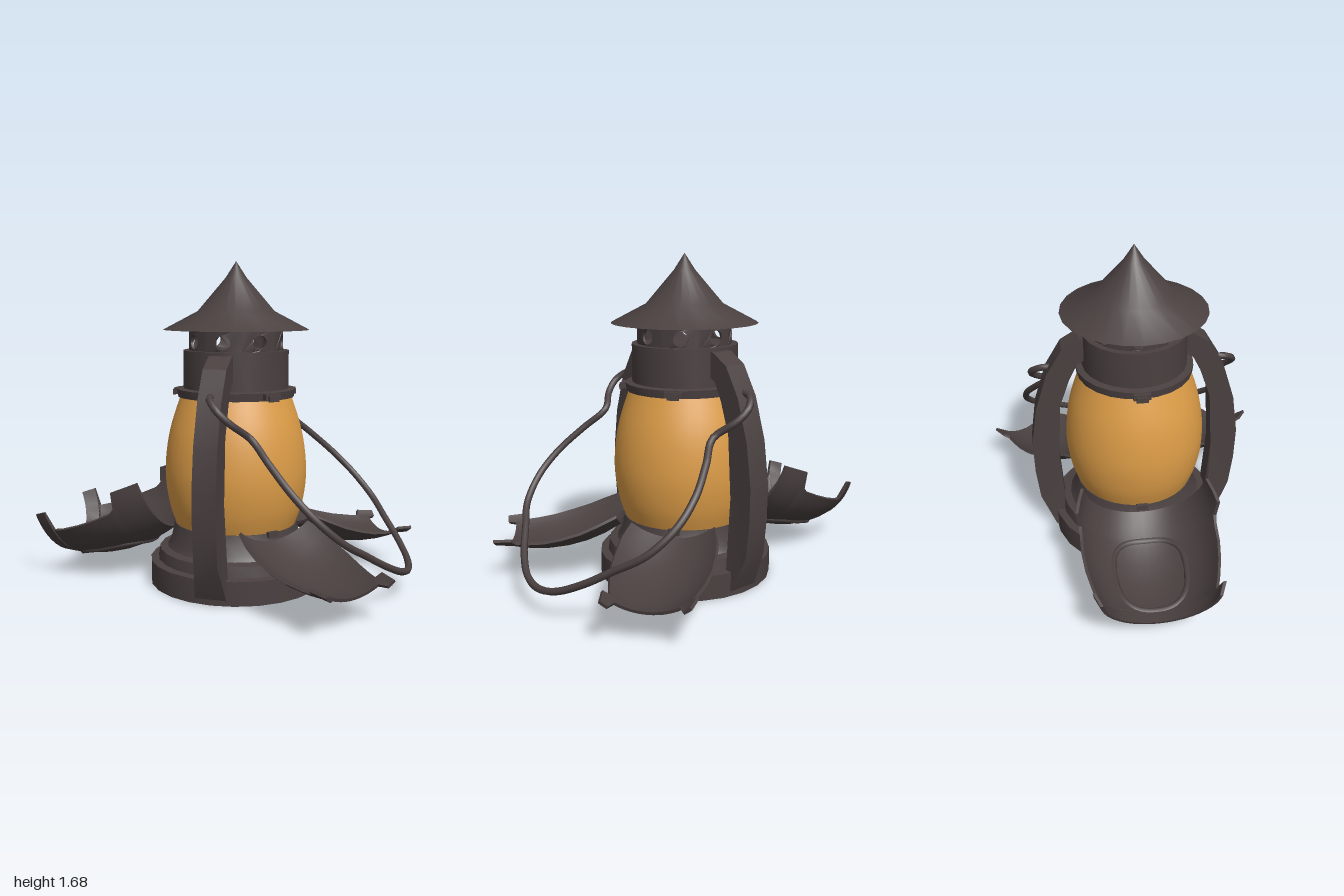
import * as THREE from 'three';
import { toCreasedNormals } from 'three/addons/utils/BufferGeometryUtils.js';

const rad = THREE.MathUtils.degToRad;

export function createModel() {
  const metal = new THREE.MeshStandardMaterial({ color: 0x4a4040, side: THREE.DoubleSide });
  metal.name = 'dark metal';
  const amber = new THREE.MeshStandardMaterial({ color: 0xdc9c47 });
  amber.name = 'amber glass';

  const model = new THREE.Group();
  model.name = 'lantern';
  const body = new THREE.Group();
  body.name = 'lanternBody';
  body.position.set(0.062, 0, 0.02);
  model.add(body);

  const add = (name, geometry, material = metal, parent = body) => {
    const mesh = new THREE.Mesh(geometry, material);
    mesh.name = name;
    parent.add(mesh);
    return mesh;
  };
  const lathe = (name, profile, segments = 24, material = metal) => {
    const pts = profile.map(([r, y]) => new THREE.Vector2(r, y));
    return add(name, toCreasedNormals(new THREE.LatheGeometry(pts, segments), 0.5), material);
  };

  // Turned parts
  lathe('base', [[0, 0], [0.455, 0], [0.455, 0.125], [0.415, 0.13], [0.405, 0.185],
    [0.365, 0.195], [0.345, 0.225], [0.325, 0.32], [0, 0.32]]);
  const bulge = new THREE.SplineCurve([[0.315, 0.31], [0.352, 0.42], [0.372, 0.56], [0.366, 0.7],
    [0.34, 0.84], [0.288, 1.0]].map(([r, y]) => new THREE.Vector2(r, y)));
  add('glass', new THREE.LatheGeometry(bulge.getPoints(20), 40), amber);
  lathe('collar', [[0.27, 0.99], [0.305, 0.99], [0.31, 1.03], [0.275, 1.035]]);
  lathe('drum', [[0, 1.0], [0.275, 1.0], [0.275, 1.23], [0, 1.23]]);
  lathe('roof', [[0, 1.33], [0.25, 1.33], [0.38, 1.335], [0.2, 1.43], [0.055, 1.6], [0, 1.685]]);

  // Vent ring: eight pierced plates bent round the axis
  const ventR = 0.232, step = Math.PI / 4, halfW = ventR * step / 2;
  const plate = new THREE.Shape();
  plate.moveTo(-halfW, 1.22);
  for (let i = 1; i <= 6; i++) plate.lineTo(-halfW + i * halfW / 3, 1.22);
  for (let i = 6; i >= 0; i--) plate.lineTo(-halfW + i * halfW / 3, 1.335);
  plate.closePath();
  plate.holes.push(new THREE.Path().absarc(0, 1.275, 0.037, 0, Math.PI * 2, true));
  const bent = new THREE.ExtrudeGeometry(plate, { depth: 0.013, bevelEnabled: false, curveSegments: 16 });
  const bp = bent.attributes.position;
  for (let i = 0; i < bp.count; i++) {
    const a = bp.getX(i) / ventR, r = ventR + bp.getZ(i);
    bp.setXYZ(i, r * Math.sin(a), bp.getY(i), r * Math.cos(a));
  }
  const ventGeo = toCreasedNormals(bent, 0.6);
  for (let i = 0; i < 8; i++) add('ventPlate', ventGeo).rotation.y = i * step;

  // Side arms, flared at the foot
  const outline = [[0.26, 1.215], [0.29, 1.21], [0.38, 1.155], [0.465, 1.01], [0.53, 0.8], [0.56, 0.58],
    [0.555, 0.4], [0.535, 0.22], [0.455, 0.03], [0.41, 0.03], [0.40, 0.22], [0.42, 0.5],
    [0.40, 0.82], [0.345, 0.98], [0.30, 1.07], [0.26, 1.09]];
  const armShape = new THREE.Shape(outline.map(([r, y]) => new THREE.Vector2(r, y)));
  const armGeo = new THREE.ExtrudeGeometry(armShape, { depth: 0.12, bevelEnabled: false });
  armGeo.translate(0, 0, -0.06);
  const ap = armGeo.attributes.position;
  for (let i = 0; i < ap.count; i++) if (ap.getY(i) < 0.1) ap.setZ(i, ap.getZ(i) * 1.35);
  const armNormals = toCreasedNormals(armGeo, 0.3);
  for (const s of [1, -1]) add('sideArm', armNormals).rotation.y = s * Math.PI / 2;

  // Carrying handle, swung down towards +x in a tilted plane
  const half = [[0, 0.43], [0.01, 0.495], [0.06, 0.54], [0.12, 0.52], [0.2, 0.445], [0.3, 0.51], [0.42, 0.575],
    [0.54, 0.585], [0.66, 0.52], [0.75, 0.39], [0.83, 0.27], [0.895, 0.13]];
  const at = ([x, z], s) => new THREE.Vector3(x, 1.03 - 0.98 * x, s * z);
  const wire = new THREE.CatmullRomCurve3([...half.map(p => at(p, 1)), at([0.915, 0], 1),
    ...half.map(p => at(p, -1)).reverse()]);
  add('handle', new THREE.TubeGeometry(wire, 110, 0.018, 8));

  // Shutters: curved shells folded down about a hinge at the foot of the glass
  const hingeR = 0.33, thick = 0.016, cols = 20;
  const shellR = h => hingeR + 0.36 * h - 0.66 * h * h;
  const onShell = (h, a, inset = 0) => {
    const r = shellR(h) - inset;
    return [r * Math.cos(a) - hingeR, h, r * Math.sin(a)];
  };
  const shutterGeometry = (rows, tip) => {
    const pos = [], idx = [], n = 2 * (cols + 1);
    rows.forEach(([h, deg], i) => {
      for (let k = 0; k < n; k++) {
        const inner = k > cols, j = inner ? n - 1 - k : k;
        const u = 2 * j / cols - 1;
        const ext = i === rows.length - 1 && Math.abs(u) > 0.75 ? tip : 0;
        const p = onShell(h, u * rad(deg), inner ? thick : 0);
        p[1] += ext;
        pos.push(...p);
      }
    });
    for (let i = 0; i < rows.length - 1; i++) {
      for (let k = 0; k < n; k++) {
        const a = i * n + k, b = i * n + (k + 1) % n, c = a + n, d = b + n;
        idx.push(a, c, b, b, c, d);
      }
    }
    const top = (rows.length - 1) * n;
    for (let j = 0; j < cols; j++) {
      const o = j, p = j + 1, q = n - 1 - j, r = n - 2 - j;
      idx.push(o, p, q, p, r, q);
      idx.push(top + o, top + q, top + p, top + p, top + q, top + r);
    }
    const g = new THREE.BufferGeometry();
    g.setAttribute('position', new THREE.Float32BufferAttribute(pos, 3));
    g.setIndex(idx);
    return toCreasedNormals(g, 0.6);
  };
  const wide = shutterGeometry([[0, 86], [0.07, 86], [0.14, 86], [0.165, 72], [0.2, 69], [0.3, 68], [0.4, 67],
    [0.5, 66], [0.56, 66], [0.57, 86], [0.64, 86]], 0);
  const narrow = shutterGeometry([[0, 42], [0.1, 43], [0.2, 42], [0.3, 41], [0.4, 39], [0.5, 37], [0.55, 36],
    [0.56, 43], [0.61, 43]], 0.045);

  const shutter = (name, geometry, azimuth, fold) => {
    const pivot = new THREE.Group();
    pivot.name = name;
    pivot.rotation.y = rad(azimuth);
    body.add(pivot);
    const leaf = new THREE.Group();
    leaf.name = name + 'Leaf';
    leaf.position.set(hingeR, 0.27, 0);
    leaf.rotation.z = -rad(fold);
    pivot.add(leaf);
    add(name + 'Shell', geometry, metal, leaf);
    // Hinge below and hooked latch on the collar above
    add('hinge', new THREE.BoxGeometry(0.05, 0.03, 0.06), metal, pivot).position.set(0.315, 0.315, 0);
    add('latchPlate', new THREE.BoxGeometry(0.03, 0.03, 0.09), metal, pivot).position.set(0.315, 1.012, 0);
    add('latchHook', new THREE.BoxGeometry(0.012, 0.03, 0.06), metal, pivot).position.set(0.334, 1.003, 0);
    return leaf;
  };
  const wideLeaf = shutter('wideShutter', wide, 180, 110);
  shutter('frontShutter', narrow, -40, 104);
  shutter('backShutter', narrow, 40, 104);

  // Raised rounded frame on the wide shutter
  const loop = [];
  for (let i = 0; i < 32; i++) {
    const t = i / 32 * Math.PI * 2, c = Math.cos(t), s = Math.sin(t);
    const soft = v => Math.sign(v) * Math.pow(Math.abs(v), 0.7);
    loop.push(new THREE.Vector3(...onShell(0.36 + 0.205 * soft(c), rad(31) * soft(s), thick / 2)));
  }
  add('shutterFrame', new THREE.TubeGeometry(new THREE.CatmullRomCurve3(loop, true), 64, 0.018, 6, true),
    metal, wideLeaf);

  return model;
}
